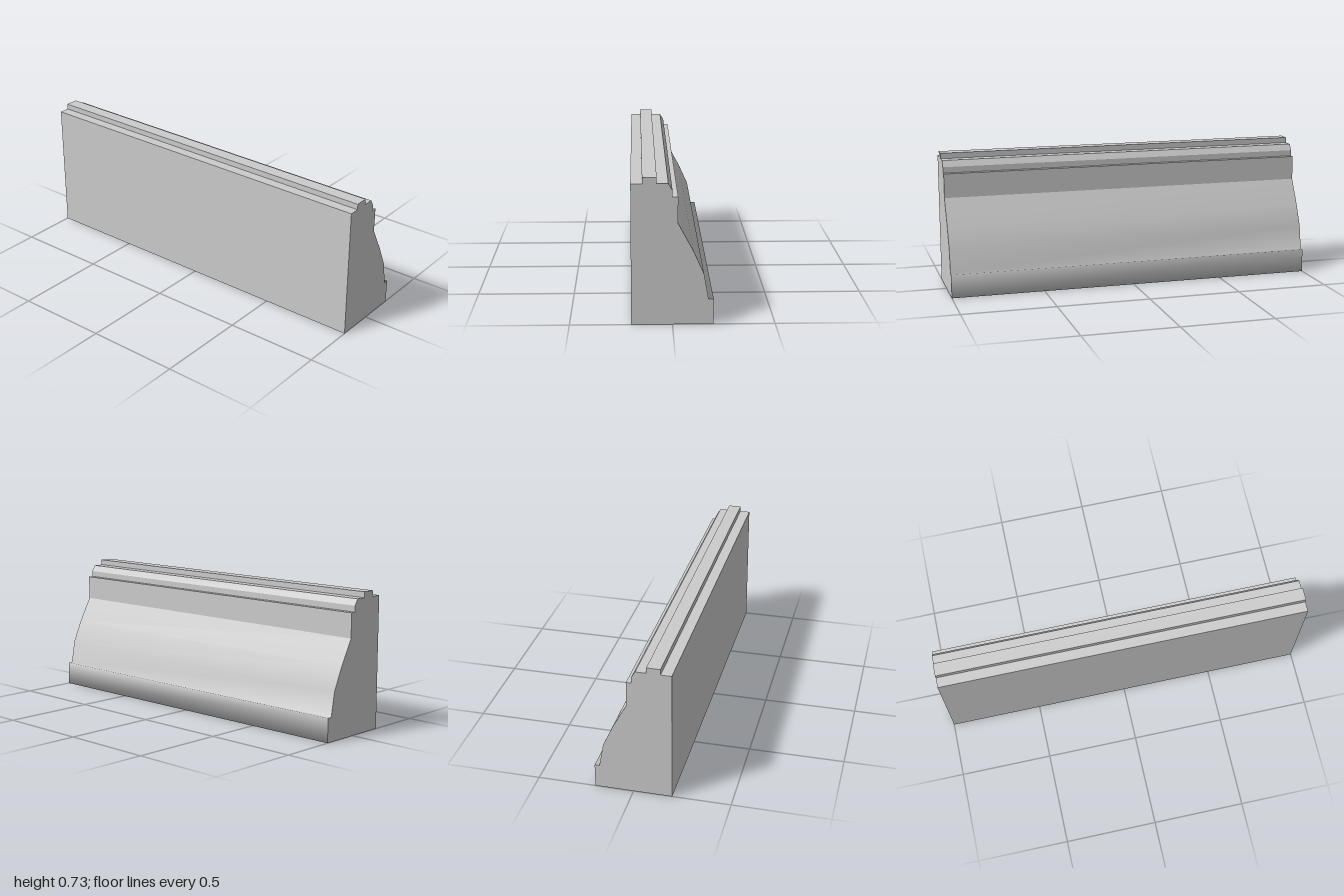
import * as THREE from 'three';

const LENGTH = 2;
const FRONT = 0.2;
const JOINT = 0.505; // height where the stepped cap meets the sloped body

// Profiles as [z, y]
const CAP = [
  [FRONT, JOINT], [FRONT, 0.7], [0.145, 0.7], [0.145, 0.73], [0.075, 0.73], [0.075, 0.7],
  [0.02, 0.7], [0, 0.667], [0, 0.635], [-0.027, 0.635], [-0.027, JOINT],
];
const BACK = [
  [-0.027, JOINT], [-0.1, 0.37], [-0.152, 0.255], [-0.175, 0.127],
  [-0.2, 0.127], [-0.2, 0], [FRONT, 0],
];

// Side = 1 draws the profile as seen from +x, side = -1 as seen from -x
const profileShape = (points, side) =>
  new THREE.Shape(points.map(([z, y]) => new THREE.Vector2(-side * z, y)));

export function createModel() {
  const model = new THREE.Group();
  const material = new THREE.MeshStandardMaterial({ color: 0xcccccc });
  const add = (name, geometry) => {
    const mesh = new THREE.Mesh(geometry, material);
    mesh.name = name;
    model.add(mesh);
  };

  // Stepped cap with a raised rib along the top
  const cap = new THREE.ExtrudeGeometry(profileShape(CAP, 1), { depth: LENGTH, bevelEnabled: false });
  cap.rotateY(Math.PI / 2).translate(-LENGTH / 2, 0, 0);
  add('steppedCap', cap);

  // Flat front wall
  add('frontWall', new THREE.PlaneGeometry(LENGTH, JOINT).translate(0, JOINT / 2, FRONT));

  // Smooth skin down the sloped back, round the plinth and under the base
  const skin = new THREE.PlaneGeometry(LENGTH, 1, 1, BACK.length - 1).rotateY(Math.PI);
  const position = skin.attributes.position;
  for (let i = 0; i < position.count; i++) {
    const [z, y] = BACK[Math.floor(i / 2)];
    position.setY(i, y);
    position.setZ(i, z);
  }
  skin.computeVertexNormals();
  add('slopedBackAndBase', skin);

  // End walls of the body
  for (const side of [1, -1]) {
    const end = new THREE.ShapeGeometry(profileShape([[FRONT, JOINT], ...BACK], side));
    end.rotateY(side * Math.PI / 2).translate(side * LENGTH / 2, 0, 0);
    add(side > 0 ? 'leftEndWall' : 'rightEndWall', end);
  }

  return model;
}
